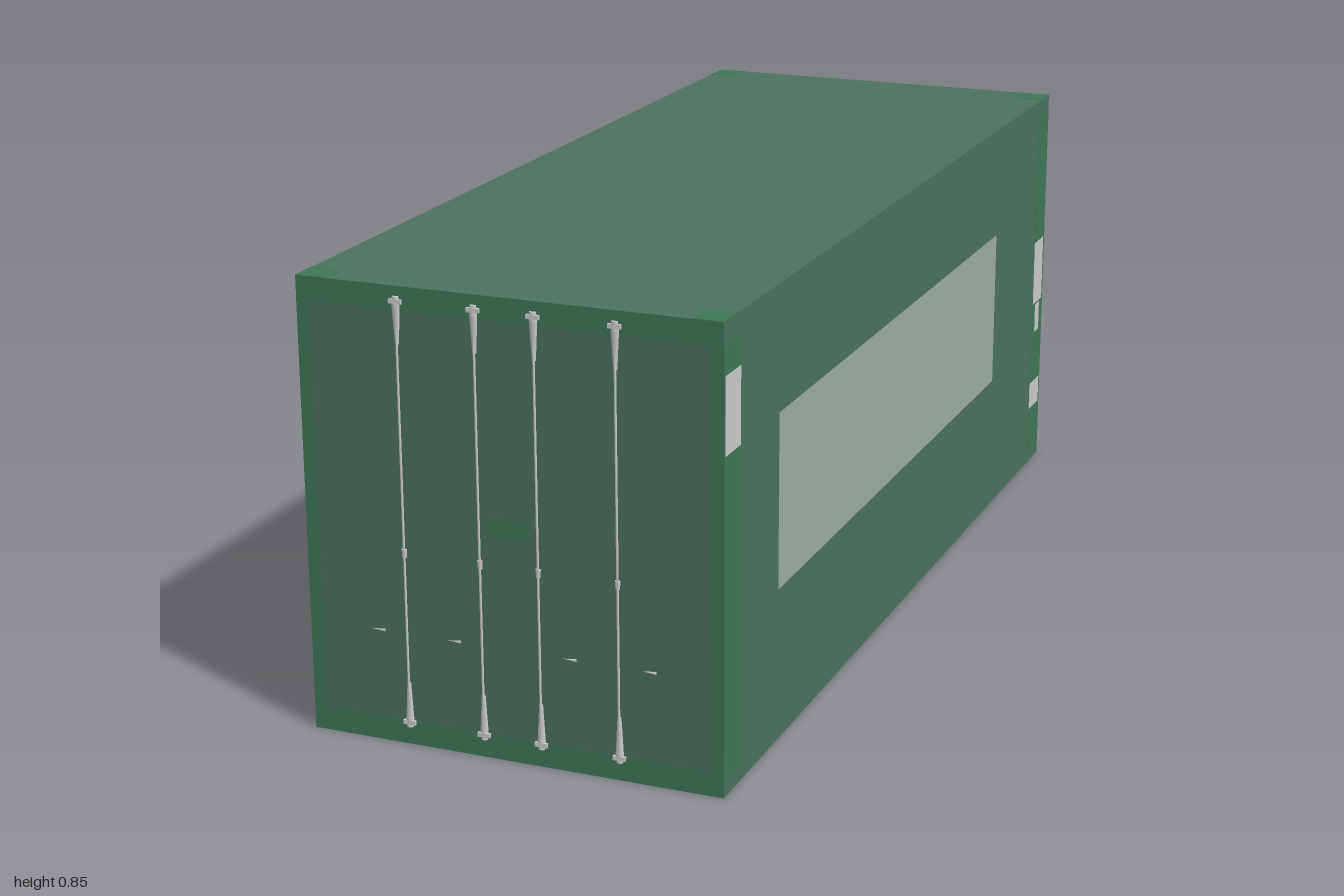
import * as THREE from 'three';

const W = 0.8, H = 0.854, BACK = -0.999, FRONT = 0.993;
const paint = (color) => new THREE.MeshStandardMaterial({ color });
const bodyMat = paint(0x4c725e);
const frameMat = paint(0x3f7759);
const panelMat = paint(0x9dada4);
const greyMat = paint(0xcccccc);
const SKIN = 0.001;

export function createModel() {
  const root = new THREE.Group();

  const add = (name, geo, mat, x, y, z, parent = root) => {
    const m = new THREE.Mesh(geo, mat);
    m.name = name;
    m.position.set(x, y, z);
    parent.add(m);
    return m;
  };
  // thin plate on a side wall (side = 1 or -1), given by its z and y ranges
  const sidePlate = (name, mat, side, z0, z1, y0, y1) =>
    add(name, new THREE.BoxGeometry(SKIN, y1 - y0, z1 - z0), mat,
      side * W / 2, (y0 + y1) / 2, (z0 + z1) / 2);
  // thin plate on an end wall, given by its x and y ranges
  const endPlate = (name, mat, z, x0, x1, y0, y1) =>
    add(name, new THREE.BoxGeometry(x1 - x0, y1 - y0, SKIN), mat,
      (x0 + x1) / 2, (y0 + y1) / 2, z);

  // container shell
  add('containerBody', new THREE.BoxGeometry(W, H, FRONT - BACK), bodyMat,
    0, H / 2, (FRONT + BACK) / 2);

  // border frames on both ends
  for (const [end, z] of [['front', FRONT], ['back', BACK]]) {
    endPlate(end + 'TopRail', frameMat, z, -0.4, 0.4, 0.81, H);
    endPlate(end + 'BottomRail', frameMat, z, -0.4, 0.4, 0, 0.045);
    for (const s of [-1, 1]) {
      const x = s * 0.388;
      endPlate(end + 'Post', frameMat, z, x - 0.012, x + 0.012, 0.045, 0.81);
    }
  }
  endPlate('frontDoorPlate', frameMat, FRONT, -0.038, 0.04, 0.42, 0.455);

  // corner posts, roof corner plates and the large panel of each long side
  for (const s of [-1, 1]) {
    sidePlate('sidePostFront', frameMat, s, 0.915, FRONT, 0.025, 0.815);
    sidePlate('sidePostBack', frameMat, s, BACK, -0.92, 0.025, 0.815);
    for (const z of [0.963, -0.969])
      add('roofCornerPlate', new THREE.BoxGeometry(0.06, SKIN, 0.06), frameMat, s * 0.37, H, z);
    const zc = s * 0.065;
    sidePlate('sidePanel', panelMat, s, zc - 0.667, zc + 0.667, 0.29, 0.62);
  }

  // small marking plates over the posts
  const plates = [
    [1, 0.918, 0.988, 0.62, 0.76],
    [1, -0.99, -0.92, 0.38, 0.525],
    [1, -0.972, -0.94, 0.31, 0.375],
    [1, -0.99, -0.917, 0.13, 0.19],
    [-1, -0.967, -0.922, 0.41, 0.51],
  ];
  for (const p of plates) sidePlate('markingPlate', greyMat, ...p).scale.x = 2;

  // locking rods with tapered ends, cams, middle guide and handle
  for (const [x, dir] of [[-0.205, -1], [-0.057, -1], [0.055, 1], [0.205, 1]]) {
    const rod = new THREE.Group();
    rod.name = 'lockingRod';
    rod.position.set(x, 0, FRONT);
    root.add(rod);
    add('rodBar', new THREE.CylinderGeometry(0.0022, 0.0022, 0.78, 10), greyMat, 0, 0.435, 0.002, rod);
    add('rodGuide', new THREE.CylinderGeometry(0.005, 0.004, 0.016, 10), greyMat, 0, 0.366, 0.001, rod);
    for (const s of [1, -1]) {
      const y = (d) => 0.435 + s * d;
      const taper = add('rodEnd', new THREE.CylinderGeometry(0.0085, 0.0038, 0.08, 10),
        greyMat, 0, y(0.355), 0, rod);
      taper.scale.set(1, s, 0.7);
      if (s < 0) { taper.scale.y = 1; taper.rotation.z = Math.PI; }
      add('rodCam', new THREE.BoxGeometry(0.024, 0.008, 0.008), greyMat, 0, y(0.392), 0.002, rod);
      add('rodTip', new THREE.CylinderGeometry(0.0065, 0.0065, 0.018, 10), greyMat, 0, y(0.392), 0, rod);
    }
    // handle tip showing through the door skin
    const handle = add('doorHandle', new THREE.ConeGeometry(0.003, 0.026, 8), greyMat,
      dir * (Math.abs(x) > 0.1 ? 0.262 : 0.112), 0.213, FRONT);
    handle.rotation.z = Math.PI / 2;
  }
  return root;
}
